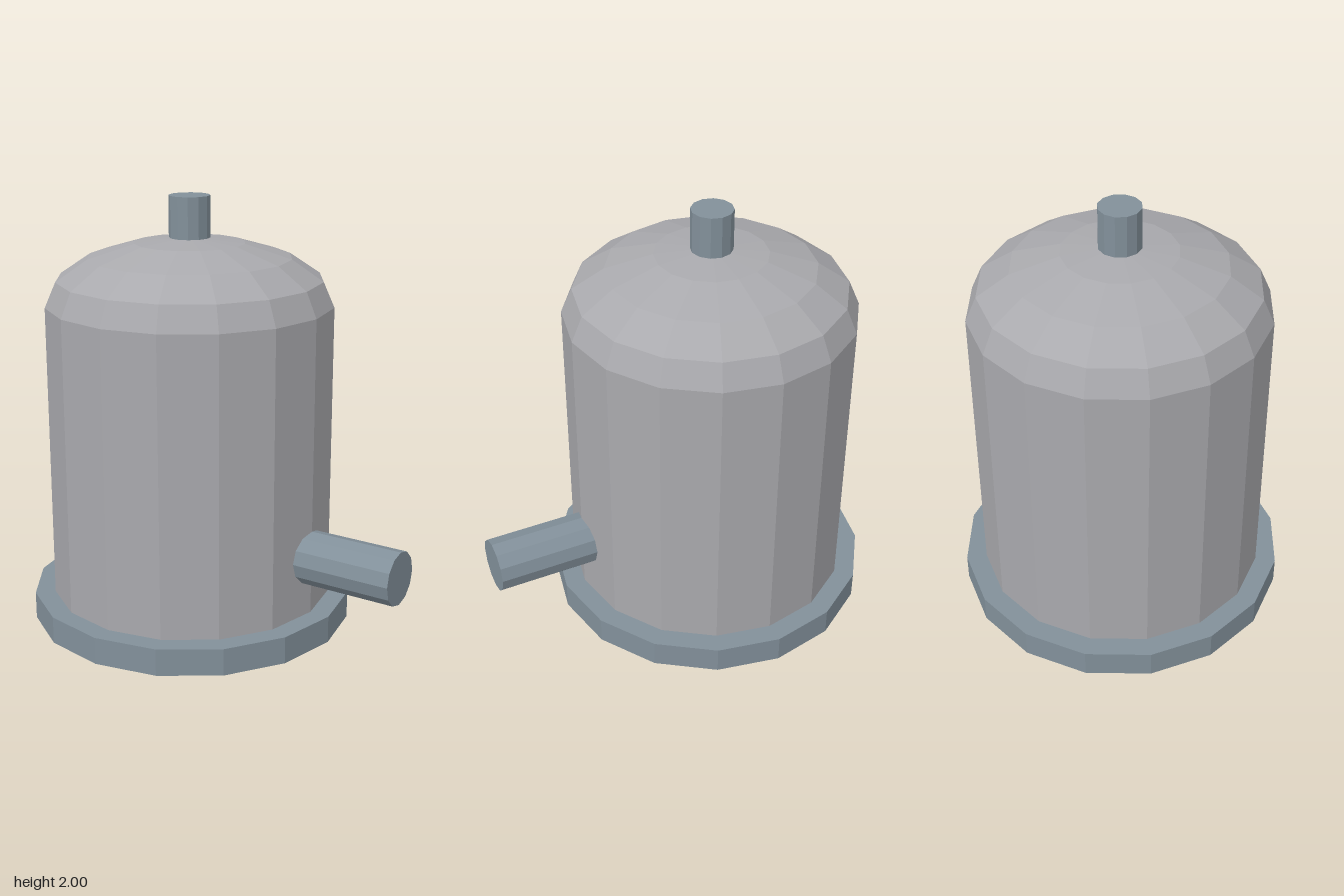
import * as THREE from 'three';

export function createModel() {
  const model = new THREE.Group();
  const shell = new THREE.MeshStandardMaterial({ color: 0xa9a9ad, flatShading: true });
  shell.name = 'pale grey shell';
  const steel = new THREE.MeshStandardMaterial({ color: 0x82909a, flatShading: true });
  steel.name = 'blue grey steel';

  const axisX = -0.175;
  const add = (name, geometry, material, x, y) => {
    const mesh = new THREE.Mesh(geometry, material);
    mesh.name = name;
    mesh.position.set(x, y, 0);
    model.add(mesh);
    return mesh;
  };

  // Base flange
  add('baseFlange', new THREE.CylinderGeometry(0.76, 0.76, 0.127, 16), steel, axisX, 0.0635);

  // Tank wall and flattened dome in one lathed profile, starting inside the flange
  const bodyR = 0.665, wallTop = 1.51, domeH = 0.3;
  const profile = [new THREE.Vector2(bodyR, 0.02)];
  for (let i = 0; i <= 4; i++) {
    const a = (i * Math.PI) / 8;
    profile.push(new THREE.Vector2(i === 4 ? 0 : bodyR * Math.cos(a), wallTop + domeH * Math.sin(a)));
  }
  add('tankBody', new THREE.LatheGeometry(profile, 16), shell, axisX, 0);

  // Top nozzle
  add('topNozzle', new THREE.CylinderGeometry(0.095, 0.095, 0.19, 12), steel, axisX, 1.905);

  // Side outlet pipe, running out along +x from inside the wall
  const pipe = add('outletPipe', new THREE.CylinderGeometry(0.125, 0.125, 0.53, 12), steel, 0.67, 0.4);
  pipe.rotation.z = -Math.PI / 2;

  return model;
}
